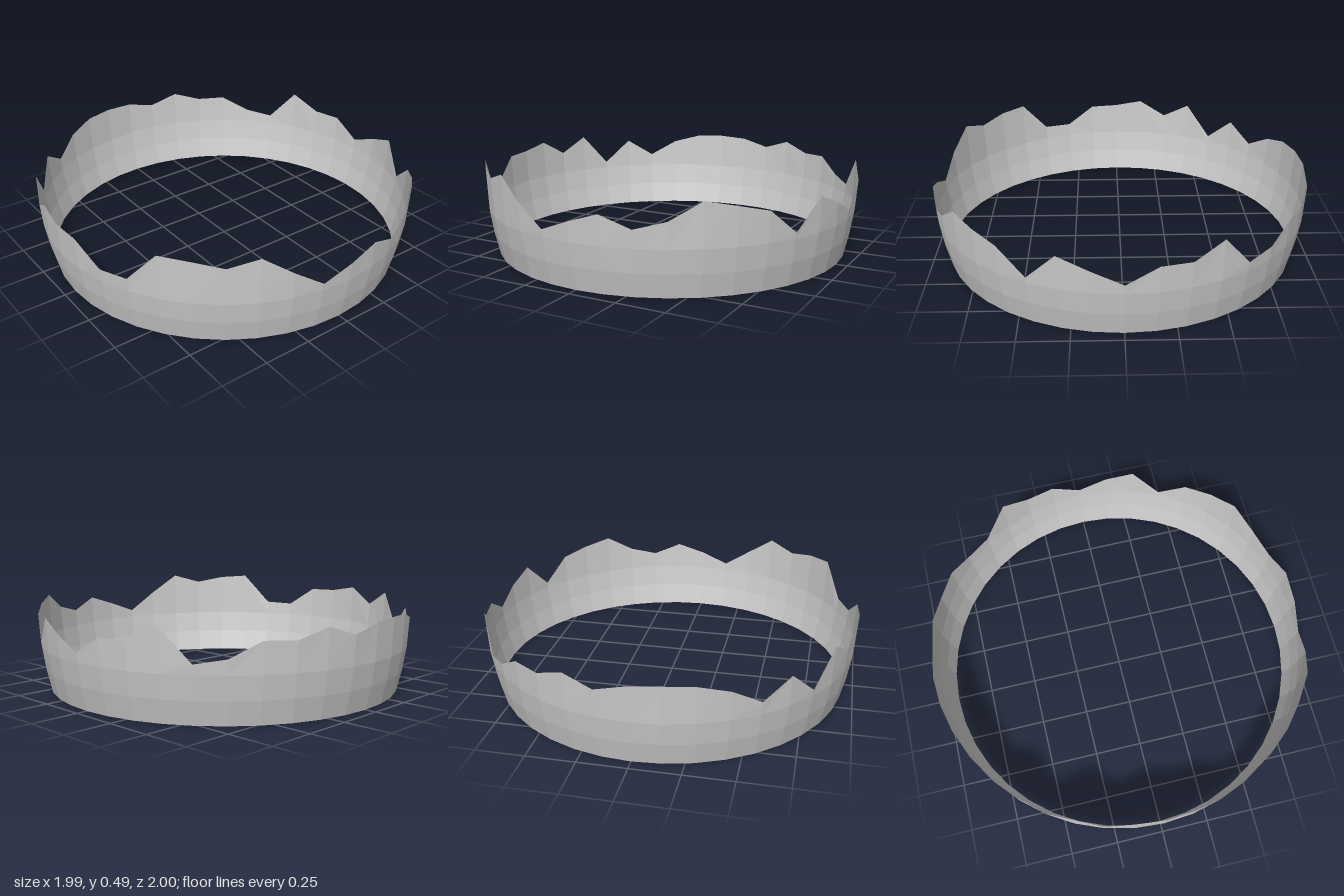
import * as THREE from 'three';

// Height of the jagged rim every 9 degrees, from the front (+z) round through +x
const RIM = [
  0.34, 0.39, 0.33, 0.37, 0.46, 0.43, 0.395, 0.27, 0.42, 0.36,
  0.29, 0.38, 0.38, 0.46, 0.29, 0.315, 0.395, 0.39, 0.44, 0.39,
  0.43, 0.44, 0.435, 0.395, 0.31, 0.405, 0.275, 0.45, 0.365, 0.45,
  0.42, 0.415, 0.31, 0.315, 0.485, 0.475, 0.445, 0.49, 0.385, 0.28,
];
const ROWS = [0, 0.12, 0.24]; // level rings below the rim

// The wall flares outward and turns upright towards the top
const radiusAt = (y) => 1 - 0.058 * Math.max(0, 1 - y / 0.42) ** 2;

export function createModel() {
  const group = new THREE.Group();
  group.name = 'jaggedRing';

  // Open band of 40 sides, reshaped ring by ring
  const sides = RIM.length;
  const band = new THREE.CylinderGeometry(1, 1, 1, sides, ROWS.length, true);
  const pos = band.attributes.position;
  for (let i = 0; i < pos.count; i++) {
    const column = i % (sides + 1);
    const row = ROWS.length - Math.floor(i / (sides + 1));
    const y = row === ROWS.length ? RIM[column % sides] : ROWS[row];
    const angle = (column / sides) * Math.PI * 2;
    const r = radiusAt(y);
    pos.setXYZ(i, r * Math.sin(angle), y, r * Math.cos(angle));
  }
  const geometry = band.toNonIndexed();
  geometry.computeVertexNormals();

  const wall = new THREE.Mesh(
    geometry,
    new THREE.MeshStandardMaterial({ color: 0xcccccc, flatShading: true, side: THREE.DoubleSide })
  );
  wall.name = 'ridgeWall';
  group.add(wall);
  return group;
}
